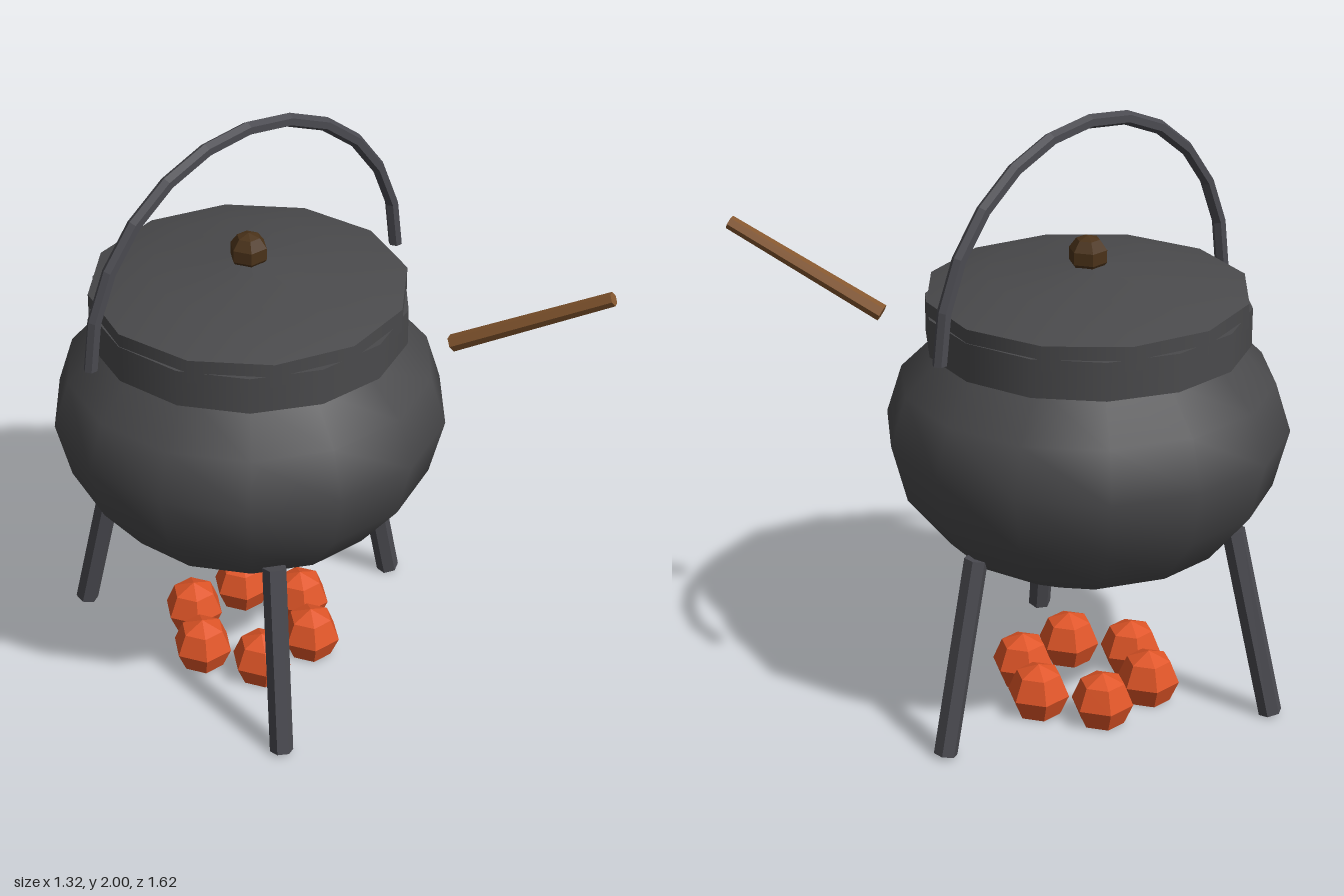
import * as THREE from 'three';

const mat = (name, color, flatShading = false) => {
  const m = new THREE.MeshStandardMaterial({ color, flatShading });
  m.name = name;
  return m;
};

export function createModel() {
  const castIron = mat('cast iron', 0x4a4a4c);
  const wroughtIron = mat('wrought iron', 0x4a4a50, true);
  const darkWood = mat('dark wood', 0x4a3219, true);
  const stickWood = mat('stick wood', 0x85572f, true);
  const ember = mat('ember', 0xe05527, true);

  const model = new THREE.Group();
  model.name = 'cauldron';
  const pot = new THREE.Group();
  pot.name = 'pot';
  pot.position.set(-0.02, 0, -0.18);
  model.add(pot);

  const add = (parent, name, geometry, material) => {
    const mesh = new THREE.Mesh(geometry, material);
    mesh.name = name;
    parent.add(mesh);
    return mesh;
  };
  const lathe = (pts, sides) =>
    new THREE.LatheGeometry(pts.map(p => new THREE.Vector2(...p)), sides).rotateY(Math.PI / 2);

  // Straight six-sided rod between two points
  const rod = (parent, name, from, to, r0, r1, material) => {
    const a = new THREE.Vector3(...from), b = new THREE.Vector3(...to);
    const dir = b.clone().sub(a);
    const mesh = add(parent, name, new THREE.CylinderGeometry(r1, r0, dir.length(), 6), material);
    mesh.position.copy(a).add(b).multiplyScalar(0.5);
    mesh.quaternion.setFromUnitVectors(new THREE.Vector3(0, 1, 0), dir.normalize());
    return mesh;
  };

  // Round belly and upright rim
  add(pot, 'belly', lathe([[0, 0.463], [0.25, 0.5], [0.46, 0.612], [0.6, 0.787],
    [0.65, 0.98], [0.6, 1.14], [0.46, 1.28]], 14), castIron);
  const rim = add(pot, 'rim', new THREE.CylinderGeometry(0.519, 0.519, 0.125, 14).rotateY(Math.PI / 2), castIron);
  rim.position.y = 1.328;

  // Lid: short skirt, shallow dome, faceted knob
  const skirt = add(pot, 'lidSkirt', new THREE.CylinderGeometry(0.517, 0.517, 0.08, 12), castIron);
  skirt.position.y = 1.395;
  add(pot, 'lidDome', lathe([[0.517, 1.435], [0.32, 1.49], [0, 1.52]], 12), castIron);
  const knob = add(pot, 'lidKnob', new THREE.SphereGeometry(0.065, 6, 5), darkWood);
  knob.position.y = 1.545;

  // Arched carrying handle
  const handle = add(pot, 'handle', new THREE.TorusGeometry(0.627, 0.023, 6, 12, Math.PI), wroughtIron);
  handle.position.y = 1.35;

  // Three splayed legs
  for (let i = 0; i < 3; i++) {
    const leg = new THREE.Group();
    leg.name = 'leg';
    leg.rotation.y = i * Math.PI * 2 / 3;
    rod(leg, 'legRod', [0.63, 0.01, 0], [0.488, 0.655, 0], 0.039, 0.039, wroughtIron);
    pot.add(leg);
  }

  // Ring of embers, flattened where they rest on the ground
  const emberGeometry = new THREE.SphereGeometry(0.104, 6, 4);
  const p = emberGeometry.attributes.position;
  for (let i = 0; i < p.count; i++) p.setY(i, Math.max(p.getY(i), -0.07));
  for (let i = 0; i < 6; i++) {
    const a = i * Math.PI / 3;
    add(pot, 'ember', emberGeometry, ember).position.set(0.217 * Math.cos(a), 0.072, 0.217 * Math.sin(a));
  }

  // Loose stirring stick
  rod(model, 'stirringStick', [0.37, 1.305, 0.36], [0.63, 1.567, 0.795], 0.028, 0.023, stickWood);

  return model;
}
